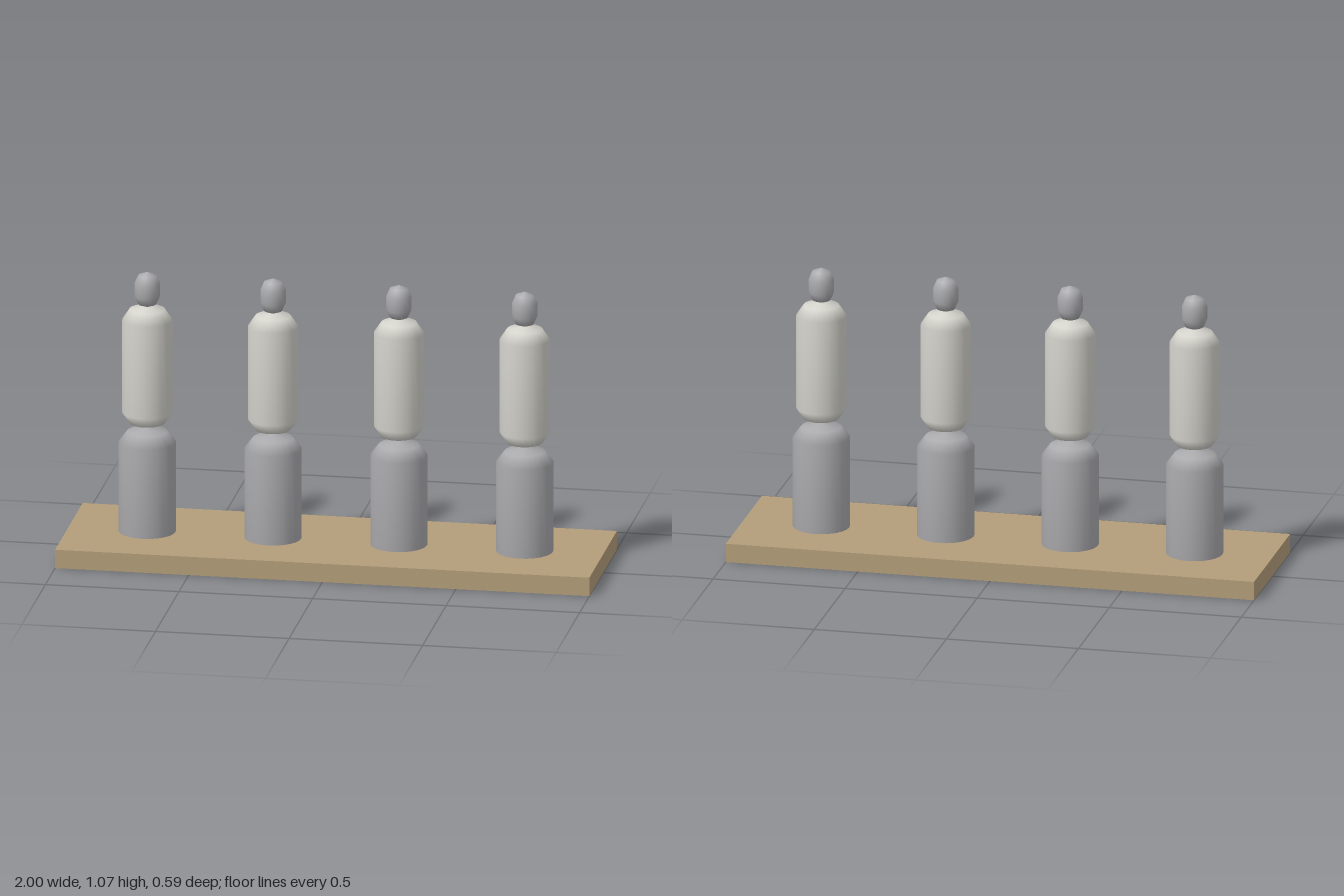
import * as THREE from 'three';

const wood = new THREE.MeshStandardMaterial({ color: 0xb39d79 });
wood.name = 'tan wood';
const grey = new THREE.MeshStandardMaterial({ color: 0xa9a9ac });
grey.name = 'mid grey';
const pale = new THREE.MeshStandardMaterial({ color: 0xd2d1ca });
pale.name = 'pale grey';

// Capsule between two heights, with squashed two-step caps
function capsule(name, radius, bottom, top, cap, material) {
  const r = radius * Math.SQRT1_2;
  const h = cap * (1 - Math.SQRT1_2);
  const profile = [
    [0, bottom], [r, bottom + h], [radius, bottom + cap],
    [radius, top - cap], [r, top - h], [0, top],
  ].map(([x, y]) => new THREE.Vector2(x, y));
  const mesh = new THREE.Mesh(new THREE.LatheGeometry(profile, 24), material);
  mesh.name = name;
  return mesh;
}

// One standing figure: lower body, torso and head
function createFigure() {
  const figure = new THREE.Group();
  figure.add(
    capsule('lowerBody', 0.106, 0, 0.472, 0.058, grey),
    capsule('torso', 0.093, 0.472, 0.943, 0.057, pale),
    capsule('head', 0.047, 0.934, 1.07, 0.043, grey),
  );
  return figure;
}

export function createModel() {
  const model = new THREE.Group();
  model.name = 'figureRow';

  // Base board
  const base = new THREE.Mesh(new THREE.BoxGeometry(2, 0.071, 0.587), wood);
  base.name = 'base';
  base.position.y = 0.0355;
  model.add(base);

  // Four evenly spaced figures
  for (let i = 0; i < 4; i++) {
    const figure = createFigure();
    figure.name = `figure${i + 1}`;
    figure.position.x = (i - 1.5) * 0.471;
    model.add(figure);
  }
  return model;
}
